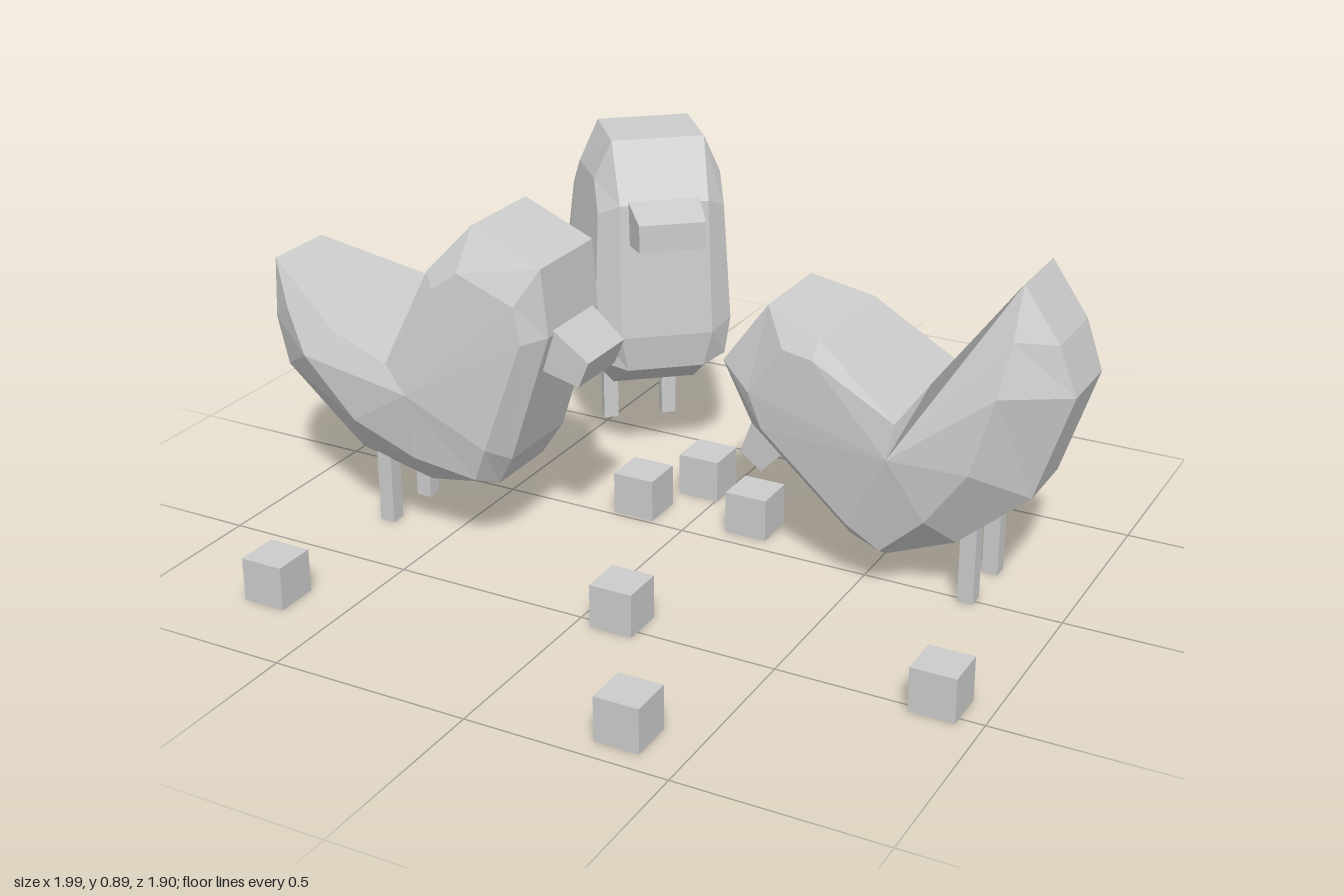
import * as THREE from 'three';

const material = new THREE.MeshStandardMaterial({ color: 0xcccccc, flatShading: true });

// Half cross-section of the bird, facing +x, origin where back meets neck.
// Each row: rim x, y, half width, then the bevel point x, y, half width.
const PROFILE = [
  [-0.43, 0, 0.095, -0.43, 0, 0.095], // tail tip
  [-0.15, 0, 0.215, -0.15, 0, 0.215], // back
  [0, 0, 0.205, 0, 0, 0.205], // neck base
  [0, 0.26, 0.16, 0.04, 0.24, 0.185], // nape
  [0.05, 0.41, 0.12, 0.08, 0.31, 0.175], // crown, back
  [0.25, 0.41, 0.12, 0.24, 0.31, 0.165], // crown, front
  [0.33, 0.26, 0.115, 0.29, 0.23, 0.165], // face
  [0.36, -0.09, 0.12, 0.31, -0.07, 0.18], // breast
  [0.346, -0.186, 0.1, 0.31, -0.17, 0.165],
  [0.18, -0.285, 0.11, 0.15, -0.2, 0.19], // belly
  [-0.036, -0.34, 0.09, -0.03, -0.2, 0.2],
  [-0.305, -0.255, 0.09, -0.22, -0.13, 0.19], // rump
  [-0.377, -0.149, 0.095, -0.33, -0.07, 0.145],
];
const FLANK = [0.08, -0.04, 0.215];

// Collects quads and triangles, skipping those that collapse to a line.
function makeFaces() {
  const positions = [];
  const tri = (a, b, c) => {
    const t = new THREE.Triangle(...[a, b, c].map((p) => new THREE.Vector3(...p)));
    if (t.getArea() > 1e-6) positions.push(...a, ...b, ...c);
  };
  const quad = (a, b, c, d) => { tri(a, b, c); tri(a, c, d); };
  const build = () => {
    const g = new THREE.BufferGeometry();
    g.setAttribute('position', new THREE.Float32BufferAttribute(positions, 3));
    g.computeVertexNormals();
    return g;
  };
  return { tri, quad, build };
}

function bodyGeometry() {
  const { tri, quad, build } = makeFaces();
  const flip = ([x, y, z]) => [x, y, -z];
  PROFILE.forEach((row, i) => {
    const next = PROFILE[(i + 1) % PROFILE.length];
    const e0 = row.slice(0, 3), s0 = row.slice(3);
    const e1 = next.slice(0, 3), s1 = next.slice(3);
    quad(e0, e1, flip(e1), flip(e0)); // strip across the middle
    quad(s0, s1, e1, e0); // bevels
    quad(flip(e0), flip(e1), flip(s1), flip(s0));
    tri(FLANK, s1, s0); // flanks
    tri(flip(FLANK), flip(s0), flip(s1));
  });
  return build();
}

// Box whose front end is narrowed into a blunt wedge.
function beakGeometry() {
  const g = new THREE.BoxGeometry(0.15, 0.13, 0.19);
  const p = g.attributes.position;
  for (let i = 0; i < p.count; i++) {
    if (p.getX(i) > 0) p.setXYZ(i, p.getX(i), p.getY(i) * 0.55 - 0.01, p.getZ(i) * 0.9);
  }
  g.computeVertexNormals();
  return g;
}

function addMesh(parent, name, geometry, x, y, z) {
  const mesh = new THREE.Mesh(geometry, material);
  mesh.name = name;
  mesh.position.set(x, y, z);
  parent.add(mesh);
  return mesh;
}

export function createModel() {
  const model = new THREE.Group();
  model.name = 'feedingBirds';
  const body = bodyGeometry();
  const beak = beakGeometry();

  // Birds: neck base position, heading, forward tilt, leg offset and height
  const birds = [
    { at: [-0.425, 0.48, -0.56], yaw: -0.874, tilt: 0, legX: -0.04, legH: 0.2 },
    { at: [-0.59, 0.49, 0.2], yaw: 0, tilt: 0.4, legX: -0.095, legH: 0.26 },
    { at: [0.61, 0.47, -0.085], yaw: Math.PI, tilt: 0.95, legX: -0.155, legH: 0.23 },
  ];
  for (const { at, yaw, tilt, legX, legH } of birds) {
    const bird = new THREE.Group();
    bird.name = 'bird';
    bird.position.set(at[0], 0, at[2]);
    bird.rotation.y = yaw;

    const torso = new THREE.Group();
    torso.name = 'torso';
    torso.position.y = at[1];
    torso.rotation.z = -tilt;
    addMesh(torso, 'body', body, 0, 0, 0);
    addMesh(torso, 'beak', beak, 0.36, 0.215, 0);
    bird.add(torso);

    for (const side of [-1, 1]) {
      addMesh(bird, 'leg', new THREE.BoxGeometry(0.04, legH, 0.04), legX, legH / 2, side * 0.082);
    }
    model.add(bird);
  }

  // Feed cubes scattered on the ground
  const crumb = new THREE.BoxGeometry(0.11, 0.11, 0.11);
  const spots = [
    [0.3, -0.87], [-0.05, -0.24], [-0.145, -0.065], [0.155, -0.1],
    [0.095, 0.475], [0.885, 0.47], [-0.69, 0.745], [0.345, 0.89],
  ];
  for (const [x, z] of spots) addMesh(model, 'crumb', crumb, x, 0.055, z);

  return model;
}
